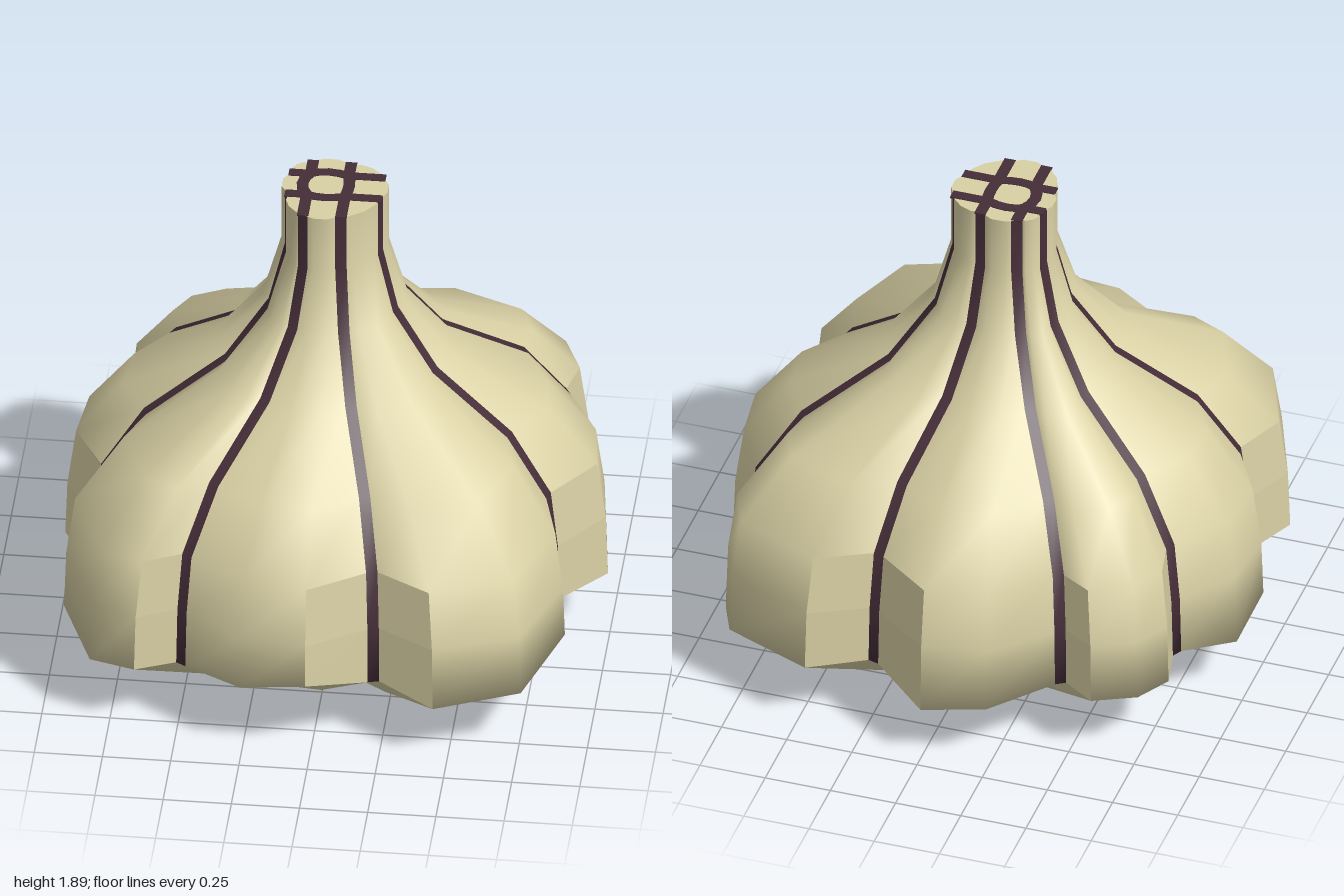
import * as THREE from 'three';

const skin = new THREE.MeshStandardMaterial({ color: 0xd9d0a4 });
const dark = new THREE.MeshStandardMaterial({ color: 0x452d38 });
const HALF = 0.021; // half width of a stripe
const TOP = 1.89, BASE = 0.5;

// Each clove: the groove it starts at (wide x, z, then neck x, z), its outer
// points [x, z, y of lower edge], and whether its first / last panel is flat.
const cloves = [
  { groove: [-0.465, -0.74, -0.105, -0.155], tips: [[-0.25, -0.95, 0.27], [-0.01, -0.99, 0.24]], flat: [0, 1] },
  { groove: [0.225, -0.825, 0.035, -0.155], tips: [[0.455, -0.925, 0.28], [0.79, -0.785, 0.28], [0.86, -0.615, 0.25]], flat: [1, 1] },
  { groove: [0.835, -0.45, 0.165, -0.075], tips: [[0.965, -0.21, 0.28], [0.995, 0.02, 0.27]], flat: [0, 1] },
  { groove: [0.835, 0.25, 0.165, 0.06], tips: [[0.89, 0.5, 0.32], [0.765, 0.835, 0.28], [0.455, 0.95, 0.265]], flat: [1, 1] },
  { groove: [0.225, 0.835, 0.035, 0.19], tips: [[-0.01, 0.98, 0.35], [-0.25, 0.955, 0.31]], flat: [1, 0] },
  { groove: [-0.485, 0.8, -0.105, 0.19], tips: [[-0.65, 0.86, 0.295], [-0.82, 0.79, 0.28], [-0.95, 0.465, 0.285]], flat: [1, 1] },
  { groove: [-0.87, 0.245, -0.18, 0.06], tips: [[-0.995, 0.015, 0.3], [-0.97, -0.22, 0.235]], flat: [1, 0] },
  { groove: [-0.81, -0.43, -0.18, -0.075], tips: [[-0.83, -0.59, 0.28], [-0.755, -0.72, 0.28], [-0.6, -0.795, 0.28]], flat: [1, 1] },
];

// Height and how far the section has grown from neck (0) to widest outline (1)
const levels = [[TOP, 0], [1.66, 0], [1.42, 0.085], [1.19, 0.31], [0.98, 0.73], [0.75, 0.95], [0.52, 0.99]];
const LOWER = 5; // level from which side panels may be flat

// One vertical column of points, from the neck down to the base edge
function column(wide, neck, edgeY, side = 0) {
  const rows = levels.map(([y, t]) => [THREE.MathUtils.lerp(neck[0], wide[0], t), y, THREE.MathUtils.lerp(neck[1], wide[1], t)]);
  rows.push([wide[0], edgeY, wide[1]], [wide[0] * BASE, 0, wide[1] * BASE]);
  return rows.map(([x, y, z]) => {
    const r = Math.hypot(x, z);
    return new THREE.Vector3(x - (z / r) * side * HALF, y, z + (x / r) * side * HALF);
  });
}

function grooveColumn(i, side) {
  const g = cloves[i % 8].groove;
  return column(g.slice(0, 2), g.slice(2), 0.29, side);
}

// Skin over neighbouring columns; keep(i, j) picks the quads
function skinOver(cols, keep = () => true) {
  const rows = cols[0].length, index = [];
  for (let i = 0; i < cols.length - 1; i++) {
    for (let j = 0; j < rows - 1; j++) {
      if (!keep(i, j)) continue;
      const a = i * rows + j, b = a + rows;
      index.push(a, b, b + 1, a, b + 1, a + 1);
    }
  }
  const geo = new THREE.BufferGeometry().setFromPoints(cols.flat());
  geo.setIndex(index);
  return geo;
}

function add(parent, name, geo, mat) {
  const mesh = new THREE.Mesh(geo, mat);
  mesh.name = name;
  parent.add(mesh);
  return mesh;
}

// Flat end cap from a closed outline
function cap(points, up) {
  const n = points.length, index = [];
  for (let i = 0; i < n; i++) {
    const k = (i + 1) % n;
    index.push(n, up ? k : i, up ? i : k);
  }
  const geo = new THREE.BufferGeometry().setFromPoints([...points, new THREE.Vector3(0, points[0].y, 0)]);
  geo.setIndex(index);
  geo.computeVertexNormals();
  return geo;
}

// Thin dark line lying flat between two points
function line(parent, a, b, y) {
  const dx = b.x - a.x, dz = b.y - a.y;
  const geo = new THREE.BoxGeometry(Math.hypot(dx, dz) + HALF * 0.5, 0.006, HALF * 2);
  const mesh = add(parent, 'capStripe', geo, dark);
  mesh.position.set((a.x + b.x) / 2, y, (a.y + b.y) / 2);
  mesh.rotation.y = -Math.atan2(dz, dx);
}

// Crossing stripes and the rounded loop on an end cap
function capStripes(parent, name, offset, scale, y) {
  const group = new THREE.Group();
  group.name = name;
  const ends = cloves.map(({ groove: g }) => new THREE.Vector2(g[offset] * scale, g[offset + 1] * scale));
  const nodes = [];
  for (let i = 1; i < 8; i += 2) {
    const a = ends[i], b = ends[(i + 1) % 8];
    // grooves 1 and 5 run along z, grooves 3 and 7 along x
    const node = i % 4 === 1 ? new THREE.Vector2(a.x, b.y) : new THREE.Vector2(b.x, a.y);
    line(group, a, node, y);
    line(group, b, node, y);
    nodes.push(node);
  }
  nodes.forEach((p, i) => {
    const q = nodes[(i + 1) % 4];
    const mid = p.clone().add(q).multiplyScalar(0.72);
    const pts = new THREE.QuadraticBezierCurve(p, mid, q).getPoints(4);
    for (let k = 0; k < 4; k++) line(group, pts[k], pts[k + 1], y);
  });
  parent.add(group);
}

export function createModel() {
  const model = new THREE.Group();
  model.name = 'garlicBulb';
  const topEdge = [], baseEdge = [];

  cloves.forEach(({ groove, tips, flat }, i) => {
    const next = cloves[(i + 1) % 8].groove;
    // bulging columns between this groove and the next
    const cols = [grooveColumn(i, 1)];
    tips.forEach(([x, z, y], k) => {
      const f = (k + 1) / (tips.length + 1);
      const nx = THREE.MathUtils.lerp(groove[2], next[2], f);
      const nz = THREE.MathUtils.lerp(groove[3], next[3], f);
      const s = 1 + (0.025 * Math.sin(Math.PI * f)) / Math.hypot(nx, nz);
      cols.push(column([x, z], [nx * s, nz * s], y));
    });
    cols.push(grooveColumn(i + 1, -1));

    const last = cols.length - 2;
    const isFlat = (c, j) => (j === LOWER || j === LOWER + 1) && ((c === 0 && flat[0]) || (c === last && flat[1]));
    const clove = new THREE.Group();
    clove.name = 'clove';
    const smooth = skinOver(cols, (c, j) => !isFlat(c, j));
    smooth.computeVertexNormals();
    add(clove, 'cloveSkin', smooth, skin);
    const panels = skinOver(cols, isFlat).toNonIndexed();
    panels.computeVertexNormals();
    add(clove, 'cloveSidePanels', panels, skin);
    model.add(clove);

    // stripe running down the groove
    const stripe = skinOver([grooveColumn(i, -1), grooveColumn(i, 1)]);
    stripe.computeVertexNormals();
    add(model, 'grooveStripe', stripe, dark);

    cols.forEach((c) => {
      topEdge.push(c[0]);
      baseEdge.push(c[c.length - 1]);
    });
  });

  add(model, 'neckTop', cap(topEdge, true), skin);
  add(model, 'base', cap(baseEdge, false), skin);
  capStripes(model, 'neckTopStripes', 2, 1, TOP);
  capStripes(model, 'baseStripes', 0, BASE, 0.001);
  return model;
}
